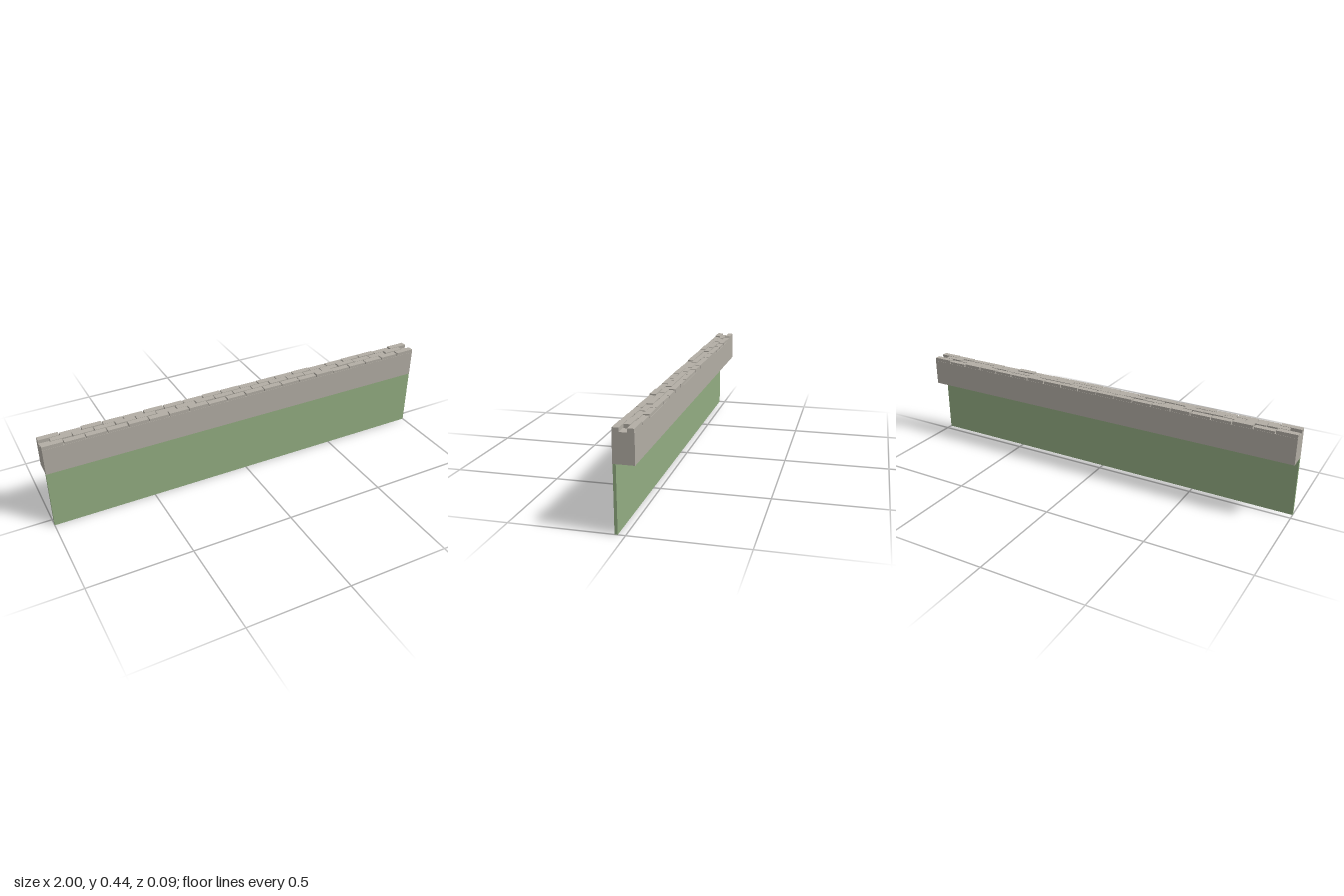
import * as THREE from 'three';

export function createModel() {
  const model = new THREE.Group();
  const stone = new THREE.MeshStandardMaterial({ color: 0xb2ada4 });
  stone.name = 'stone';
  const green = new THREE.MeshStandardMaterial({ color: 0x92ac81 });
  green.name = 'grass green';

  function box(name, material, [x0, x1], [y0, y1], [z0, z1], parent = model) {
    const mesh = new THREE.Mesh(new THREE.BoxGeometry(x1 - x0, y1 - y0, z1 - z0), material);
    mesh.position.set((x0 + x1) / 2, (y0 + y1) / 2, (z0 + z1) / 2);
    mesh.name = name;
    parent.add(mesh);
  }

  // Green face panel below the stone kerb
  box('facePanel', green, [-1, 1], [0, 0.292], [0.032, 0.045]);
  // Solid kerb body
  box('kerbBody', stone, [-1, 1], [0.292, 0.421], [-0.045, 0.046]);

  // Seeded variation for the paver heights
  let seed = 7;
  const random = () => (seed = (seed * 16807) % 2147483647) / 2147483647;

  // Three rows of pavers, the middle one shifted by half a paver
  const pitch = 0.1, gap = 0.005;
  const rows = [
    { name: 'backPavers', start: -1, count: 20, z: [-0.044, -0.016] },
    { name: 'middlePavers', start: -0.95, count: 19, z: [-0.013, 0.014] },
    { name: 'frontPavers', start: -1, count: 20, z: [0.017, 0.045] },
  ];
  for (const row of rows) {
    const group = new THREE.Group();
    group.name = row.name;
    model.add(group);
    for (let i = 0; i < row.count; i++) {
      const x = row.start + i * pitch;
      const left = i === 0 ? x : x + gap / 2;
      const right = i === row.count - 1 ? x + pitch : x + pitch - gap / 2;
      const end = i === 0 || i === row.count - 1;
      const top = end ? 0.438 : 0.432 + 0.006 * random();
      box('paver', stone, [left, right], [0.419, top], row.z, group);
    }
  }
  return model;
}
